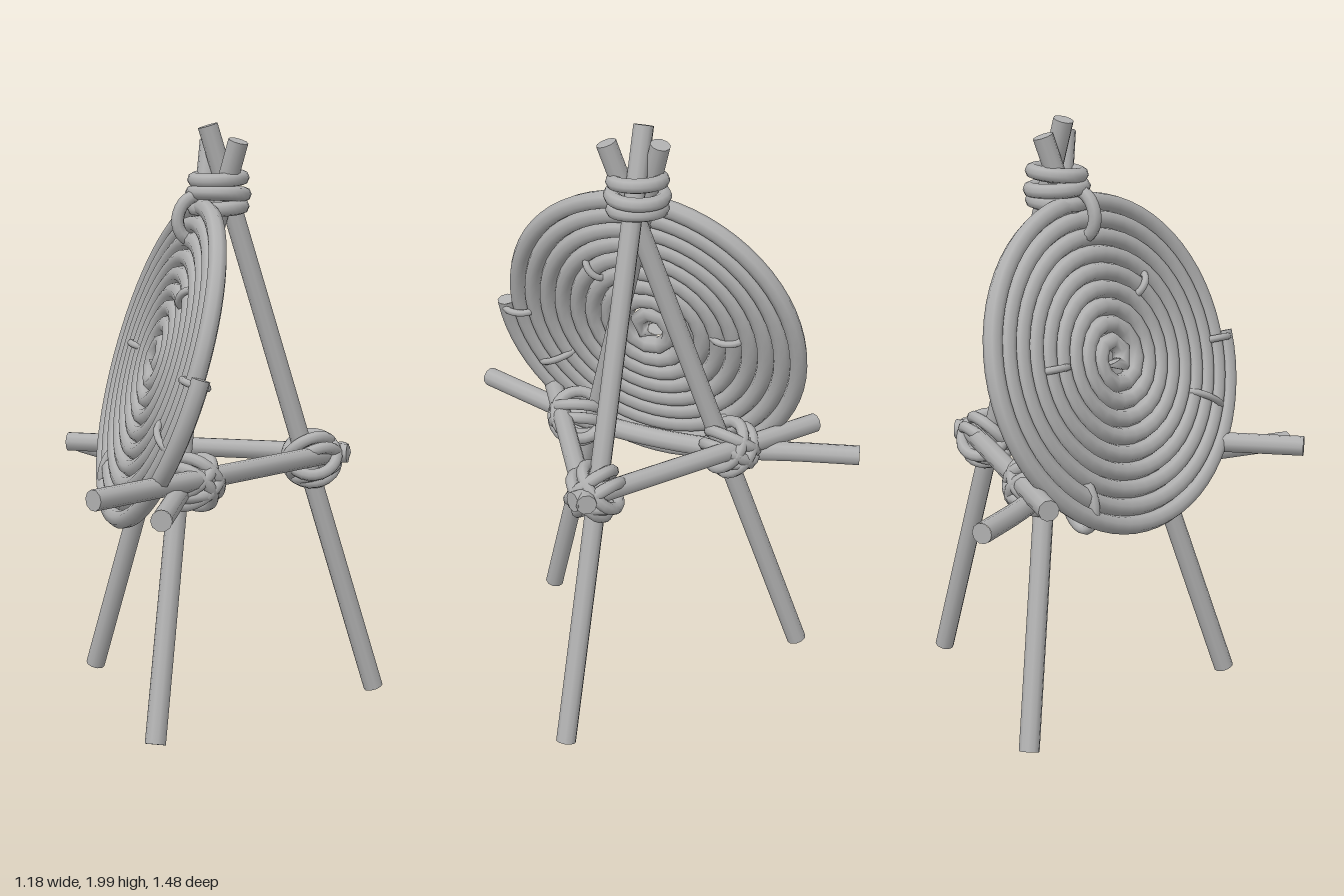
import * as THREE from 'three';

const V = (x, y, z) => new THREE.Vector3(x, y, z);

export function createModel() {
  const model = new THREE.Group();
  const grey = new THREE.MeshStandardMaterial({ color: 0xb0b0b0 });
  grey.name = 'plain grey';

  const add = (geometry, name, parent = model) => {
    const mesh = new THREE.Mesh(geometry, grey);
    mesh.name = name;
    parent.add(mesh);
    return mesh;
  };

  // Straight round pole between two points
  const pole = (a, b, name, radius = 0.034) => {
    const dir = b.clone().sub(a);
    const mesh = add(new THREE.CylinderGeometry(radius, radius, dir.length(), 10), name);
    mesh.position.copy(a).add(b).multiplyScalar(0.5);
    mesh.quaternion.setFromUnitVectors(V(0, 1, 0), dir.normalize());
  };

  // Oval loop of rope lying in the plane of unit vectors a and b
  const loop = (center, a, b, ra, rb, thick, name, parent) => {
    const pts = [];
    for (let i = 0; i < 12; i++) {
      const t = (i / 12) * Math.PI * 2;
      pts.push(center.clone().addScaledVector(a, ra * Math.cos(t)).addScaledVector(b, rb * Math.sin(t)));
    }
    const path = new THREE.CatmullRomCurve3(pts, true);
    return add(new THREE.TubeGeometry(path, 24, thick, 8, true), name, parent);
  };

  // Tripod legs, crossing near the top
  const legs = [
    [V(0.56, 0.015, -0.05), V(-0.045, 1.99, -0.05), 'leftLeg'],
    [V(-0.35, 0.035, 0.455), V(-0.02, 1.94, -0.12), 'frontLeg'],
    [V(-0.35, 0.035, -0.53), V(0.035, 1.94, 0.045), 'backLeg'],
  ];
  legs.forEach(([a, b, name]) => pole(a, b, name));

  // Cross poles
  pole(V(-0.57, 0.865, 0.59), V(0.45, 0.865, -0.08), 'frontCrossPole');
  pole(V(-0.44, 0.865, -0.53), V(0.45, 0.865, -0.03), 'backCrossPole');

  // Bent pole that carries the disc, with closed ends
  const bent = new THREE.CatmullRomCurve3([
    V(-0.39, 0.82, 0.73), V(-0.3, 0.82, 0.49), V(-0.21, 0.82, 0.23), V(-0.18, 0.82, -0.02),
    V(-0.2, 0.82, -0.28), V(-0.29, 0.82, -0.54), V(-0.35, 0.82, -0.73),
  ]);
  const cappedTube = (path, segments, radius, sides, name) => {
    add(new THREE.TubeGeometry(path, segments, radius, sides), name);
    [0, 1].forEach((t) => {
      const cap = add(new THREE.CircleGeometry(radius, sides), name + 'End');
      cap.position.copy(path.getPointAt(t));
      cap.quaternion.setFromUnitVectors(V(0, 0, 1), path.getTangentAt(t).multiplyScalar(t ? 1 : -1));
    });
  };
  cappedTube(bent, 24, 0.034, 10, 'restPole');

  // Coiled disc: one thick rope wound in a leaning spiral
  const tilt = 0.293;
  const up = V(Math.sin(tilt), Math.cos(tilt), 0);
  const side = V(0, 0, 1);
  const out = V(-Math.cos(tilt), Math.sin(tilt), 0);
  const hub = V(-0.225, 1.22, 0);
  const onDisc = (r, phi) => hub.clone()
    .addScaledVector(up, r * Math.cos(phi)).addScaledVector(side, r * Math.sin(phi));
  const turns = 9.4, pitch = 0.058, startRadius = 0.02;
  class Spiral extends THREE.Curve {
    getPoint(t, target = new THREE.Vector3()) {
      // even spacing along the rope
      const r = Math.sqrt(startRadius ** 2 + t * ((startRadius + pitch * turns) ** 2 - startRadius ** 2));
      const n = (r - startRadius) / pitch;
      return target.copy(onDisc(r, Math.PI / 2 + (turns - n) * Math.PI * 2));
    }
  }
  const spiral = new Spiral();
  spiral.arcLengthDivisions = 1200;
  cappedTube(spiral, 330, 0.031, 8, 'coiledDisc');

  // Small stitches binding neighbouring coils: [z, height on disc, half length]
  const stitches = [[0.18, 0.22, 0.045], [0.39, -0.21, 0.08], [-0.285, 0.01, 0.055], [0.51, -0.02, 0.06]];
  stitches.forEach(([z, h, half]) => {
    const radial = up.clone().multiplyScalar(h).addScaledVector(side, z);
    const center = hub.clone().add(radial);
    loop(center, radial.normalize(), out, half, 0.04, 0.012, 'coilStitch');
  });

  // Ties holding the disc to the tripod
  loop(V(-0.095, 1.685, -0.02), up, out, 0.075, 0.06, 0.022, 'upperDiscTie');
  loop(V(-0.31, 0.8, -0.25), up, out, 0.09, 0.06, 0.018, 'lowerDiscTie');

  // Rope lashing at the top of the tripod
  const topLashing = new THREE.Group();
  topLashing.name = 'topLashing';
  model.add(topLashing);
  [[1.72, 0.08, 0.05], [1.765, 0.087, -0.04], [1.815, 0.08, 0.06]].forEach(([y, r, lean]) => {
    loop(V(-0.01, y, -0.045), V(1, lean, 0).normalize(), V(0, -lean, 1).normalize(), r, r, 0.025,
      'topRope', topLashing);
  });

  // Crossed rope lashings where the poles meet the legs
  const lashing = (center, legIndex, bar, name) => {
    const group = new THREE.Group();
    group.name = name;
    model.add(group);
    const leg = legs[legIndex][1].clone().sub(legs[legIndex][0]).normalize();
    bar.normalize();
    const depth = new THREE.Vector3().crossVectors(leg, bar).normalize();
    const d1 = leg.clone().add(bar).normalize();
    const d2 = leg.clone().sub(bar).normalize();
    [[d1, d2], [d2, d1]].forEach(([a, shift]) => {
      [-0.024, 0.024].forEach((s) => {
        loop(center.clone().addScaledVector(shift, s), a, depth, 0.085, 0.085, 0.021, 'crossRope', group);
      });
    });
    loop(center.clone().addScaledVector(leg, -0.045), bar, depth, 0.065, 0.075, 0.02, 'legRope', group);
  };
  lashing(V(0.325, 0.85, -0.05), 0, V(0, 0, 1), 'leftLashing');
  lashing(V(-0.175, 0.845, 0.26), 1, V(1.02, 0, -0.67), 'frontLashing');
  lashing(V(-0.175, 0.845, -0.32), 2, V(0.89, 0, 0.5), 'backLashing');

  return model;
}
